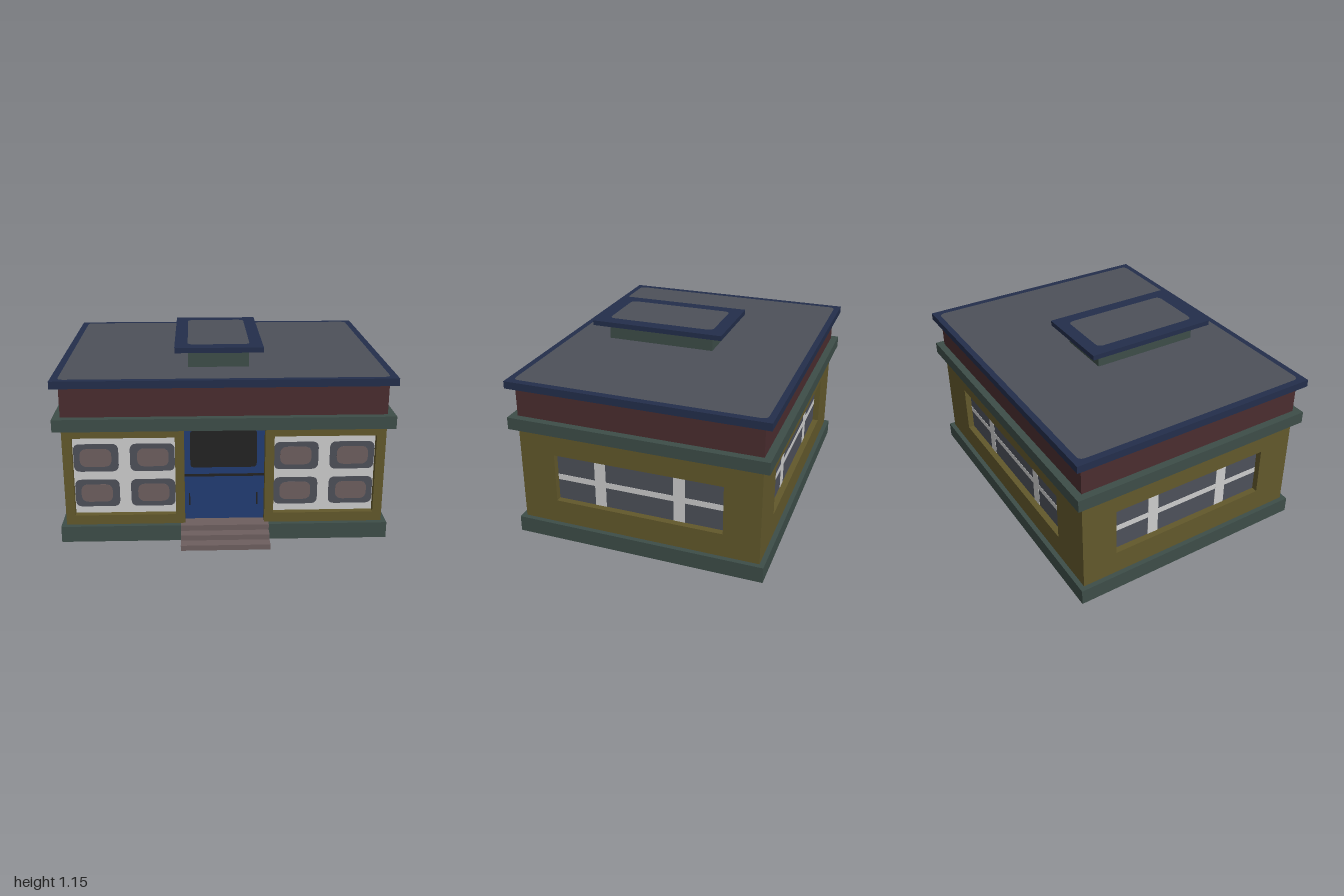
import * as THREE from 'three';

const mat = (name, color) => {
  const m = new THREE.MeshStandardMaterial({ color, side: THREE.DoubleSide });
  m.name = name;
  return m;
};

export function createModel() {
  const olive = mat('oliveWall', 0x62582b), navy = mat('navyTrim', 0x232e4b);
  const slate = mat('slateGrey', 0x4d5059), red = mat('darkRed', 0x4a2d2f);
  const green = mat('darkGreen', 0x3d4d48), blue = mat('doorBlue', 0x223c73);
  const black = mat('black', 0x232323), white = mat('frameWhite', 0xcccccc);
  const taupe = mat('taupe', 0x6d5e5e);

  const root = new THREE.Group();
  root.name = 'building';
  const CZ = -0.0575;                 // centre of the body in z
  const HX = 0.955, HZ = 0.7425;      // wall half sizes
  const Y0 = 0.1, Y1 = 0.71;          // wall bottom and top
  const RECESS = 0.04, DOOR_RECESS = 0.06;

  const add = (parent, name, geo, material, x = 0, y = 0, z = 0) => {
    const mesh = new THREE.Mesh(geo, material);
    mesh.name = name;
    mesh.position.set(x, y, z);
    parent.add(mesh);
    return mesh;
  };

  const group = (parent, name) => {
    const g = new THREE.Group();
    g.name = name;
    parent.add(g);
    return g;
  };

  // Flat-shaded surface from four-cornered faces
  const quads = (list) => {
    const pos = [];
    for (const [a, b, c, d] of list) pos.push(...a, ...b, ...c, ...a, ...c, ...d);
    const g = new THREE.BufferGeometry();
    g.setAttribute('position', new THREE.Float32BufferAttribute(pos, 3));
    g.computeVertexNormals();
    return g;
  };

  // Rectangular shell following a profile of [outward offset, y]
  const corners = [[1, 1], [1, -1], [-1, -1], [-1, 1]];
  const ring = (name, profile, material) => {
    const faces = [];
    const pt = ([sx, sz], [o, y]) => [sx * (HX + o), y, CZ + sz * (HZ + o)];
    for (let i = 0; i + 1 < profile.length; i++) {
      corners.forEach((c, k) => {
        const n = corners[(k + 1) % 4];
        faces.push([pt(c, profile[i]), pt(n, profile[i]), pt(n, profile[i + 1]), pt(c, profile[i + 1])]);
      });
    }
    return add(root, name, quads(faces), material);
  };

  // Rounded rectangle centred on the origin
  const rounded = (w, h, r, P = THREE.Shape) => {
    const s = new P(), x = w / 2, y = h / 2;
    s.moveTo(-x + r, -y);
    s.lineTo(x - r, -y).quadraticCurveTo(x, -y, x, -y + r);
    s.lineTo(x, y - r).quadraticCurveTo(x, y, x - r, y);
    s.lineTo(-x + r, y).quadraticCurveTo(-x, y, -x, y - r);
    s.lineTo(-x, -y + r).quadraticCurveTo(-x, -y, -x + r, -y);
    return s;
  };
  const rect = (x0, x1, y0, y1, P = THREE.Shape) => new P([[x0, y0], [x1, y0], [x1, y1], [x0, y1]]
    .map(([x, y]) => new THREE.Vector2(x, y)));

  // Thin plates showing on both sides of a panel
  const plate = (parent, name, w, h, t, material, x, y, z) =>
    add(parent, name, new THREE.BoxGeometry(w, h, t), material, x, y, z);
  const softPlate = (parent, name, w, h, r, t, material, x, y, z) => {
    const geo = new THREE.ExtrudeGeometry(rounded(w, h, r), { depth: t, bevelEnabled: false, curveSegments: 5 });
    return add(parent, name, geo, material, x, y, z - t / 2);
  };

  // Reveal around an opening, from the wall face back to the recess
  const reveal = (parent, x0, x1, y0, y1, z, depth) => {
    const c = [[x0, y0], [x0, y1], [x1, y1], [x1, y0]];
    add(parent, 'reveal', quads(c.map((p, i) => {
      const q = c[(i + 1) % 4];
      return [[...p, z], [...q, z], [...q, z - depth], [...p, z - depth]];
    })), olive);
  };

  const wallPanel = (parent, x0, x1, z, hole) => {
    const s = rect(x0, x1, Y0, Y1);
    s.holes.push(rect(...hole, THREE.Path));
    add(parent, 'wallPanel', new THREE.ShapeGeometry(s), olive, 0, 0, z);
    reveal(parent, ...hole, z, RECESS);
  };

  // Base, bands and roof edge
  ring('base', [[0.03, 0], [0.03, 0.1], [0, 0.1]], green);
  ring('lowerBand', [[0, 0.71], [0.045, 0.71], [0.045, 0.785], [0, 0.785]], green);
  ring('upperWall', [[0, 0.785], [0, 0.97]], red);
  ring('roofEdge', [[0, 0.97], [0.045, 0.97], [0.045, 1.015]], navy);

  // Roof: navy border around a grey field
  const roofTop = (parent, name, W, D, w, d, x, y, z) => {
    const border = rect(-W / 2, W / 2, -D / 2, D / 2);
    border.holes.push(rounded(w, d, 0.04, THREE.Path));
    add(parent, name + 'Border', new THREE.ShapeGeometry(border), navy, x, y, z).rotation.x = -Math.PI / 2;
    add(parent, name + 'Field', new THREE.ShapeGeometry(rounded(w, d, 0.04)), slate, x, y, z).rotation.x = -Math.PI / 2;
  };
  roofTop(root, 'roof', 2, 1.575, 1.915, 1.5, 0, 1.015, CZ);

  // Raised roof box with its cap
  const vent = group(root, 'roofBox');
  add(vent, 'roofBoxBody', new THREE.BoxGeometry(0.365, 0.107, 0.692), green, -0.03, 1.07, 0.102);
  add(vent, 'roofBoxCap', new THREE.BoxGeometry(0.525, 0.031, 0.852), navy, -0.0275, 1.1375, 0.101);
  roofTop(vent, 'roofBoxTop', 0.525, 0.852, 0.37, 0.692, -0.0285, 1.155, 0.101);

  // Back and side walls with a long barred window
  const barredWall = (name, half, dist, winHalf, barX, angle) => {
    const g = group(root, name);
    g.position.z = CZ;
    g.rotation.y = angle;
    wallPanel(g, -half, half, dist, [-winHalf, winHalf, 0.25, 0.56]);
    const z = dist - RECESS;
    plate(g, 'glass', 2 * winHalf, 0.31, 0.002, slate, 0, 0.405, z);
    plate(g, 'crossBar', 2 * winHalf, 0.037, 0.005, white, 0, 0.398, z);
    for (const s of [-1, 1]) plate(g, 'uprightBar', 0.07, 0.31, 0.006, white, s * barX, 0.405, z);
  };
  barredWall('leftWall', HZ, HX, 0.5225, 0.247, Math.PI / 2);
  barredWall('rightWall', HZ, HX, 0.5225, 0.247, -Math.PI / 2);
  barredWall('backWall', HX, HZ, 0.66, 0.315, Math.PI);

  // Front wall: a four-pane window on each side of the door
  const ZF = CZ + HZ;
  for (const s of [-1, 1]) {
    const g = group(root, s > 0 ? 'frontLeftWall' : 'frontRightWall');
    const c = s * 0.597, z = ZF - RECESS;
    wallPanel(g, Math.min(s * 0.24, s * HX), Math.max(s * 0.24, s * HX), ZF, [c - 0.303, c + 0.303, 0.16, 0.654]);
    plate(g, 'windowFrame', 0.606, 0.494, 0.002, white, c, 0.407, z);
    for (const px of [-1, 1]) for (const y of [0.517, 0.29]) {
      softPlate(g, 'pane', 0.266, 0.175, 0.04, 0.005, slate, c + px * 0.167, y, z);
      softPlate(g, 'paneCentre', 0.188, 0.114, 0.045, 0.008, taupe, c + px * 0.17, y, z);
    }
  }

  // Recessed door
  const door = group(root, 'door'), zd = ZF - DOOR_RECESS;
  reveal(door, -0.24, 0.24, Y0, Y1, ZF, DOOR_RECESS);
  plate(door, 'doorPanel', 0.48, 0.61, 0.002, blue, 0, 0.405, zd);
  softPlate(door, 'doorWindow', 0.4, 0.236, 0.025, 0.006, black, -0.005, 0.558, zd);
  plate(door, 'doorRail', 0.48, 0.016, 0.006, black, 0, 0.389, zd);
  for (const x of [-0.212, 0.198]) plate(door, 'doorHandle', 0.008, 0.08, 0.006, black, x, 0.232, zd);

  // Front steps, open underneath
  const steps = group(root, 'steps'), w = 0.266;
  const p = [[0.85, 0], [0.85, 0.033], [0.785, 0.033], [0.785, 0.066], [0.7225, 0.066], [0.7225, 0.1015], [ZF, 0.1015]];
  const faces = p.slice(1).map(([z, y], i) => {
    const [z0, y0] = p[i];
    return [[-w, y0, z0], [w, y0, z0], [w, y, z], [-w, y, z]];
  });
  faces.push([[-0.24, 0.1015, ZF], [0.24, 0.1015, ZF], [0.24, 0.1015, zd], [-0.24, 0.1015, zd]]);
  add(steps, 'treads', quads(faces), taupe);
  const side = new THREE.Shape([...p, [ZF, 0]].map(([z, y]) => new THREE.Vector2(-z, y)));
  for (const s of [-1, 1]) add(steps, 'stepSide', new THREE.ShapeGeometry(side), taupe, s * w).rotation.y = Math.PI / 2;

  return root;
}
